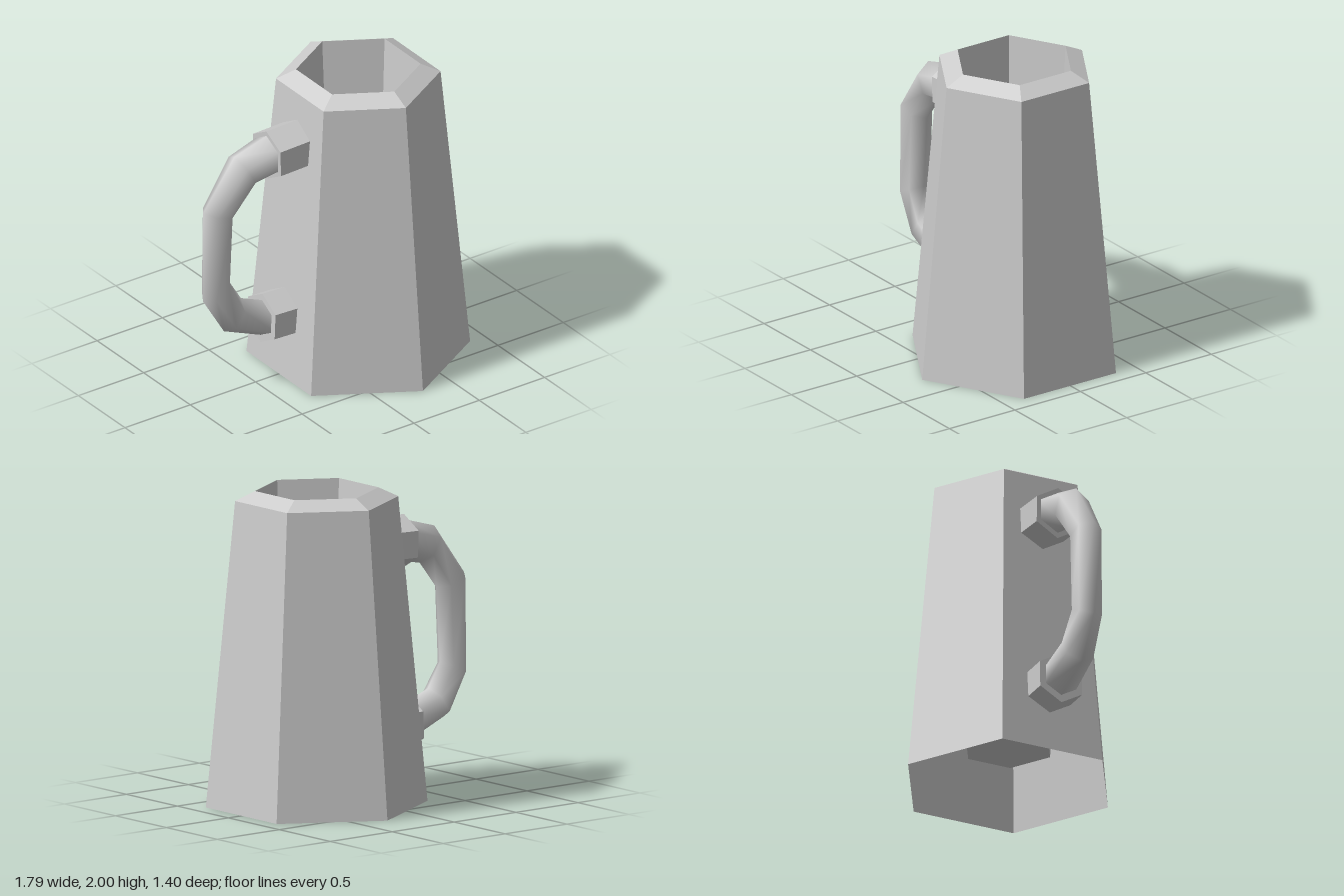
import * as THREE from 'three';

const SIDES = 6;
const CUP_X = 0.287;   // axis of the body
const GRIP_Z = -0.01;  // plane of the handle

const flat = new THREE.MeshStandardMaterial({ color: 0xcccccc, flatShading: true, side: THREE.DoubleSide });
const smooth = new THREE.MeshStandardMaterial({ color: 0xcccccc, side: THREE.DoubleSide });

function addMesh(parent, name, geometry, material) {
  const mesh = new THREE.Mesh(geometry, material);
  mesh.name = name;
  parent.add(mesh);
  return mesh;
}

// Six-sided tube lofted through rings given as [outerX, outerY, innerX, innerY, depthRadius]
function loftHandle(rings) {
  const positions = [], index = [];
  rings.forEach(([ox, oy, ix, iy, r], i) => {
    for (let j = 0; j < SIDES; j++) {
      const a = (j / SIDES) * Math.PI * 2;
      const t = Math.cos(a) / 2;
      positions.push(
        (ox + ix) / 2 + (ox - ix) * t,
        (oy + iy) / 2 + (oy - iy) * t,
        GRIP_Z + r * Math.sin(a)
      );
      if (i < rings.length - 1) {
        const p = i * SIDES + j, q = i * SIDES + (j + 1) % SIDES;
        index.push(p, p + SIDES, q, q, p + SIDES, q + SIDES);
      }
    }
  });
  const geometry = new THREE.BufferGeometry();
  geometry.setAttribute('position', new THREE.Float32BufferAttribute(positions, 3));
  geometry.setIndex(index);
  geometry.computeVertexNormals();
  return geometry;
}

export function createModel() {
  const model = new THREE.Group();
  model.name = 'tankard';

  // Body: open foot, tapering wall, bevelled rim, inner wall and raised floor
  const profile = [[0.7, 0], [0.515, 1.94], [0.39, 2], [0.295, 0.26], [0, 0.26]]
    .map(([r, y]) => new THREE.Vector2(r, y));
  const body = addMesh(model, 'body', new THREE.LatheGeometry(profile, SIDES), flat);
  body.position.x = CUP_X;
  body.rotation.y = -0.006;

  // Handle: tapered bent tube from the upper socket to the lower one
  const handle = new THREE.Group();
  handle.name = 'handle';
  model.add(handle);
  addMesh(handle, 'grip', loftHandle([
    [-0.36, 1.74, -0.36, 1.46, 0.14],
    [-0.655, 1.655, -0.535, 1.435, 0.12],
    [-0.895, 1.33, -0.67, 1.26, 0.093],
    [-0.895, 0.7, -0.7, 0.785, 0.093],
    [-0.735, 0.435, -0.605, 0.63, 0.108],
    [-0.4, 0.295, -0.4, 0.545, 0.125],
  ]), smooth);

  // Sockets: hexagonal blocks joining the handle to the wall
  const socketGeometry = new THREE.CylinderGeometry(0.17, 0.17, 0.24, SIDES, 1, false, Math.PI / 2);
  [
    ['upperSocket', -0.285, 1.592, 0.03],
    ['lowerSocket', -0.328, 0.432, -0.04],
  ].forEach(([name, x, y, tilt]) => {
    const socket = addMesh(handle, name, socketGeometry, flat);
    socket.position.set(x, y, GRIP_Z);
    socket.rotation.z = -Math.PI / 2 + tilt;
  });

  return model;
}
